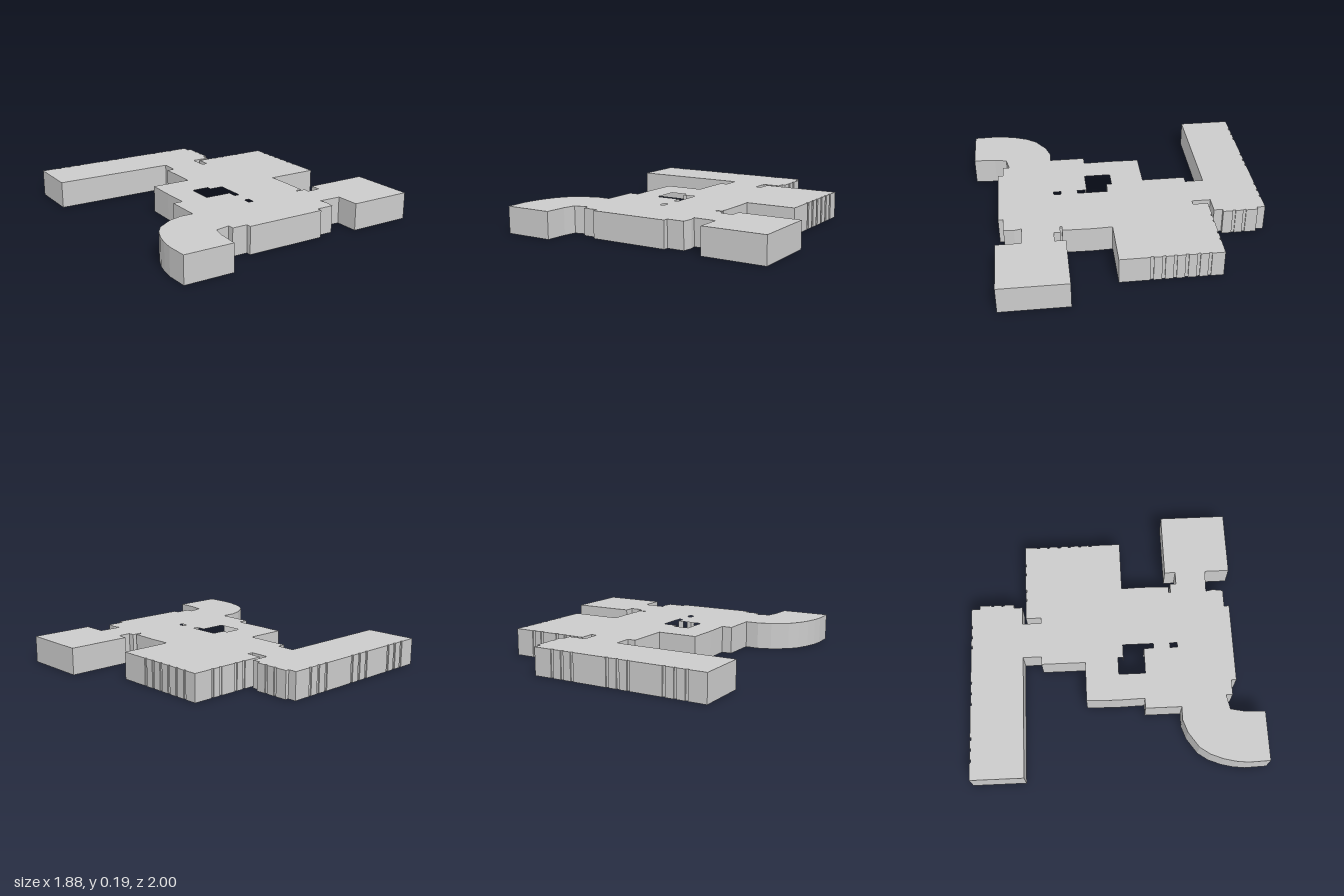
import * as THREE from 'three';

const HEIGHT = 0.185;
const GROOVE_WIDTH = 0.02;
const GROOVE_DEPTH = 0.008;

// Straight wall from a to b, cut by shallow vertical grooves at the given distances from a.
// The walls run clockwise in plan, so inward is to the right of travel.
function groovedWall(a, b, distances) {
  const start = new THREE.Vector2(...a);
  const dir = new THREE.Vector2(...b).sub(start).normalize();
  const at = (d, inset) => [
    start.x + dir.x * d - dir.y * inset,
    start.y + dir.y * d + dir.x * inset,
  ];
  const points = [a];
  for (const d of distances) {
    const d0 = d - GROOVE_WIDTH / 2, d1 = d + GROOVE_WIDTH / 2;
    points.push(at(d0, 0), at(d0, GROOVE_DEPTH), at(d1, GROOVE_DEPTH), at(d1, 0));
  }
  points.push(b);
  return points;
}

// Evenly spaced grooves, repeated for each group start
function grooveGroups(starts, count, pitch) {
  return starts.flatMap((s) => Array.from({ length: count }, (_, i) => s + i * pitch));
}

// Plan points are [x, z]; the shape is drawn with y = -z
const toPlan = (points) => points.map(([x, z]) => new THREE.Vector2(x, -z));

export function createModel() {
  const group = new THREE.Group();
  group.name = 'floorPlanBuilding';

  // Long rear wing
  const rearWing = [
    ...groovedWall([-0.94, -0.998], [0.275, -0.998], grooveGroups([0.13, 0.52, 0.93], 3, 0.075)),
    [0.275, -0.94],
    ...groovedWall([0.3, -0.94], [0.3, -0.7], [0.09, 0.163]),
    [0.275, -0.7], [0.275, -0.64], [0.15, -0.64], [0.15, -0.51], [0.19, -0.51],
  ];

  // Large block on the left side of the rear
  const leftBlock = [
    ...groovedWall([0.19, -0.615], [0.743, -0.615], grooveGroups([0.14, 0.34], 2, 0.07)),
    ...groovedWall([0.743, -0.61], [0.743, 0.07], grooveGroups([0.09, 0.315], 3, 0.075)),
    [0.39, 0.07], [0.395, 0.2], [0.39, 0.404], [0.345, 0.404],
    [0.345, 0.417], [0.41, 0.417], [0.41, 0.46],
  ];

  // Square wing on the left
  const squareWing = [
    [0.5, 0.46], [0.5, 0.385], [0.94, 0.385], [0.94, 0.845],
    [0.5, 0.845], [0.5, 0.675], [0.345, 0.67],
  ];

  // Stepped front wall
  const frontWall = [
    [0.355, 0.72], [0.345, 0.79], [0.225, 0.79], [0.225, 0.825],
    [-0.325, 0.825], [-0.325, 0.79], [-0.43, 0.79], [-0.43, 0.745],
  ];

  // Curved wing on the right
  const curvedWing = [
    [-0.53, 0.765], [-0.548, 0.85], [-0.557, 1], [-0.895, 1],
    [-0.9, 0.85], [-0.89, 0.77], [-0.87, 0.69], [-0.835, 0.605],
    [-0.785, 0.535], [-0.68, 0.465], [-0.59, 0.435], [-0.5, 0.437],
  ];

  // Stepped right side leading back to the rear wing
  const rightSide = [
    [-0.5, 0.19], [-0.43, 0.19], [-0.435, 0], [-0.43, -0.208],
    [-0.155, -0.208], [-0.155, -0.51], [-0.1, -0.51], [-0.1, -0.637], [-0.94, -0.637],
  ];

  const plan = new THREE.Shape(toPlan([
    ...rearWing, ...leftBlock, ...squareWing, ...frontWall, ...curvedWing, ...rightSide,
  ]));

  // Courtyard and light shaft
  const courtyard = [
    [-0.25, 0.02], [-0.13, 0.02], [-0.13, 0.057], [-0.037, 0.057],
    [-0.037, 0.27], [-0.07, 0.27], [-0.07, 0.203], [-0.25, 0.203],
  ];
  const lightShaft = [[-0.07, 0.385], [-0.037, 0.385], [-0.037, 0.437], [-0.07, 0.437]];
  for (const hole of [courtyard, lightShaft]) plan.holes.push(new THREE.Path(toPlan(hole)));

  const geometry = new THREE.ExtrudeGeometry(plan, { depth: HEIGHT, bevelEnabled: false });
  geometry.rotateX(-Math.PI / 2);

  const building = new THREE.Mesh(
    geometry,
    new THREE.MeshStandardMaterial({ color: 0xcccccc, flatShading: true }),
  );
  building.name = 'buildingBlock';
  group.add(building);
  return group;
}
